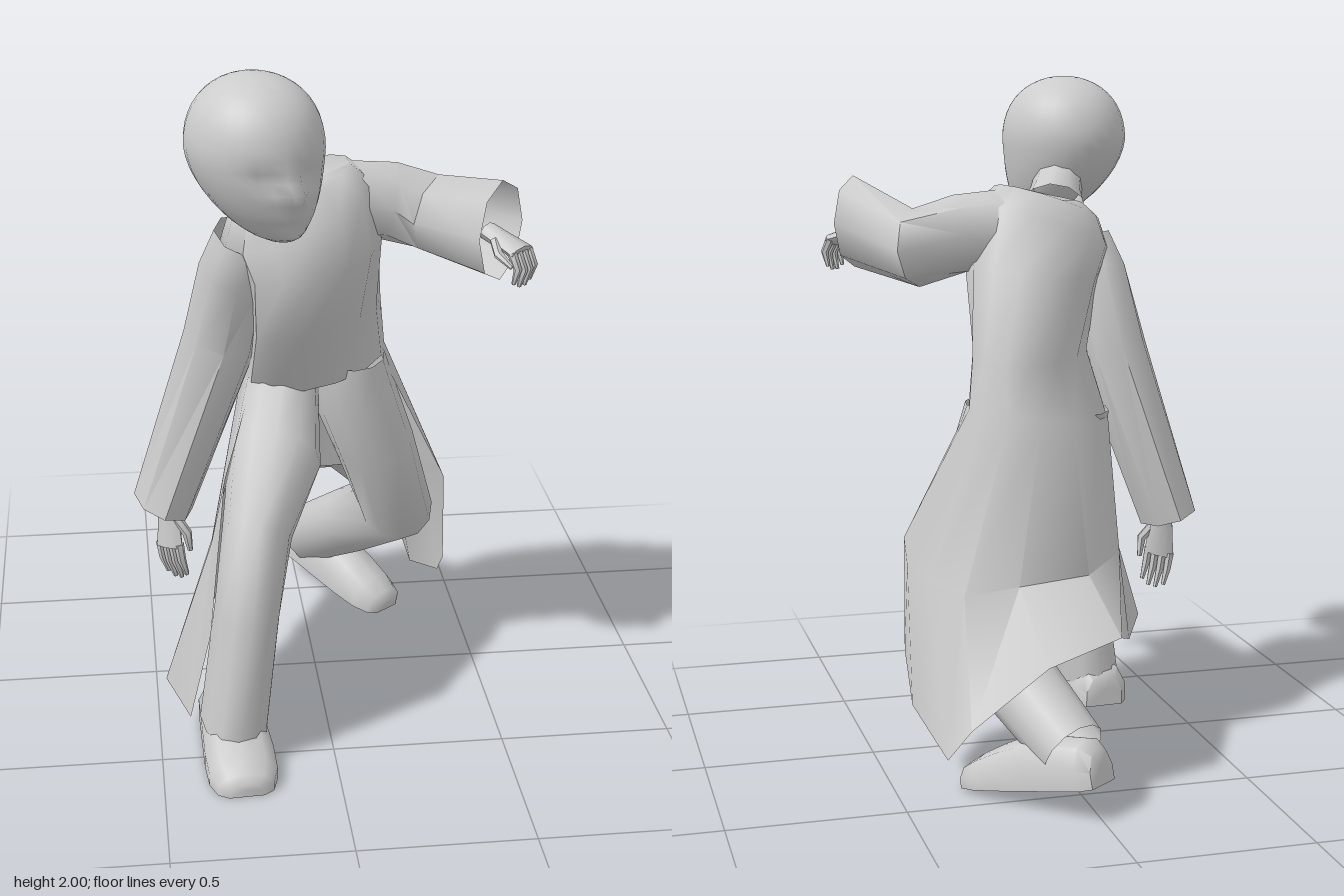
import * as THREE from 'three';
import { toCreasedNormals } from 'three/addons/utils/BufferGeometryUtils.js';

const V = (x, y, z) => new THREE.Vector3(x, y, z);
const mat = new THREE.MeshStandardMaterial({ color: 0xcccccc, side: THREE.DoubleSide });

function mesh(name, geo, crease = 0.9) {
  const m = new THREE.Mesh(toCreasedNormals(geo, crease), mat);
  m.name = name;
  return m;
}

// Skin a stack of point rows; closed rows wrap round, caps fan to the row centre
function loft(rows, { closed = true, capped = false } = {}) {
  const n = rows[0].length, pos = [], idx = [];
  rows.forEach(r => r.forEach(p => pos.push(p.x, p.y, p.z)));
  for (let i = 0; i < rows.length - 1; i++)
    for (let j = 0; j < (closed ? n : n - 1); j++) {
      const k = (j + 1) % n, a = i * n + j, b = i * n + k;
      idx.push(a, a + n, b, b, a + n, b + n);
    }
  const cap = (r, flip) => {
    const c = V(0, 0, 0);
    rows[r].forEach(p => c.addScaledVector(p, 1 / n));
    const ci = pos.length / 3;
    pos.push(c.x, c.y, c.z);
    for (let j = 0; j < n; j++) {
      const a = r * n + j, b = r * n + (j + 1) % n;
      idx.push(ci, flip ? a : b, flip ? b : a);
    }
  };
  if (capped) {
    cap(0, true);
    cap(rows.length - 1, false);
  }
  const g = new THREE.BufferGeometry();
  g.setAttribute('position', new THREE.Float32BufferAttribute(pos, 3));
  g.setIndex(idx);
  return g;
}

// Ellipse of n points about c with half axes u and v
function ring(c, u, v, n) {
  return Array.from({ length: n }, (_, j) => {
    const t = j / n * Math.PI * 2;
    return c.clone().addScaledVector(u, Math.cos(t)).addScaledVector(v, Math.sin(t));
  });
}

// Tapering tube; each point is [x, y, z, ru, rv, optional section normal]
function limb(points, ref, n = 10, opts = {}) {
  const P = points.map(p => V(p[0], p[1], p[2]));
  const dir = i => P[i + 1].clone().sub(P[i]).normalize();
  const rows = points.map((p, i) => {
    const t = V(0, 0, 0);
    if (p[5]) t.copy(p[5]);
    else {
      if (i > 0) t.add(dir(i - 1));
      if (i < P.length - 1) t.add(dir(i));
    }
    t.normalize();
    const u = ref.clone().addScaledVector(t, -ref.dot(t)).normalize();
    const v = u.clone().cross(t);
    return ring(P[i], u.multiplyScalar(p[3]), v.multiplyScalar(p[4]), n);
  });
  return loft(rows, opts);
}

// Shoe along z with a flat sole, from [z, half width, height] sections
function shoe(name) {
  const rows = [
    [-0.235, 0.06, 0.1], [-0.2, 0.085, 0.13], [-0.02, 0.095, 0.14], [0.08, 0.1, 0.115],
    [0.17, 0.098, 0.085], [0.225, 0.08, 0.06], [0.245, 0.05, 0.04],
  ].map(([z, w, h]) => [
    [-1, 0], [-1, 0.45], [-0.65, 0.88], [0, 1], [0.65, 0.88], [1, 0.45], [1, 0],
  ].map(([x, y]) => V(x * w, y * h, z)));
  return mesh(name, loft(rows, { capped: true }), 0.9);
}

// Hand along +z with four curling fingers and a thumb
function hand(name, curl, size, side) {
  const g = new THREE.Group();
  g.name = name;
  const X = V(1, 0, 0), ends = { capped: true };
  g.add(mesh('palm', limb([
    [0, 0, -0.03, 0.03, 0.025], [0, 0, 0.02, 0.035, 0.022], [0, 0, 0.1, 0.045, 0.02],
  ], X, 8, ends)));
  for (let i = 0; i < 4; i++) {
    const x = (i - 1.5) * 0.022, l = 0.055 - 0.006 * Math.abs(i - 1.5);
    const y1 = -Math.sin(curl) * l, z1 = 0.09 + Math.cos(curl) * l;
    g.add(mesh('finger', limb([
      [x, 0, 0.09, 0.012, 0.014], [x, y1, z1, 0.011, 0.012],
      [x, y1 - Math.sin(curl * 2) * l, z1 + Math.cos(curl * 2) * l, 0.006, 0.006],
    ], X, 6, ends)));
  }
  g.add(mesh('thumb', limb([
    [side * 0.025, 0, 0.02, 0.014, 0.014], [side * 0.05, -0.015, 0.06, 0.013, 0.013],
    [side * 0.045, -0.03, 0.11, 0.007, 0.007],
  ], X, 6, ends)));
  g.scale.setScalar(size);
  return g;
}

// Head: a sphere reshaped into a skull with a jaw, brow, eyes, nose and mouth
function head() {
  const geo = new THREE.SphereGeometry(1, 30, 24), p = geo.attributes.position;
  const bump = (x, y, cx, cy, sx, sy) => Math.exp(-(((x - cx) / sx) ** 2) - ((y - cy) / sy) ** 2);
  for (let i = 0; i < p.count; i++) {
    const a = p.getX(i), b = p.getY(i), c = p.getZ(i), low = Math.max(0, -b);
    const x = a * 0.182 * (1 - 0.1 * low);
    const y = b * 0.222 + 0.03 * (1 - b * b);
    let z = c * 0.205 + 0.06 * low * low;
    if (c < 0) z *= 1 - 0.1 * low;
    if (c > 0.15) {
      z += 0.045 * bump(x, y, 0, -0.065, 0.024, 0.03) + 0.018 * bump(x, y, 0, -0.02, 0.018, 0.04);
      z += 0.014 * bump(x, y, 0, -0.135, 0.045, 0.016) + 0.015 * bump(x, y, 0, -0.195, 0.05, 0.03);
      z -= 0.026 * (bump(x, y, 0.065, -0.02, 0.035, 0.022) + bump(x, y, -0.065, -0.02, 0.035, 0.022));
      z -= 0.014 * bump(x, y, 0, -0.16, 0.05, 0.012);
    }
    p.setXYZ(i, x + 0.04 * low * low, y, z);
  }
  const m = mesh('head', geo, 1.2);
  m.position.set(-0.205, 1.778, 0.4);
  m.rotation.y = 0.43;
  return m;
}

export function createModel() {
  const g = new THREE.Group();
  const X = V(1, 0, 0), Y = V(0, 1, 0);

  // Head and neck
  g.add(head());
  g.add(mesh('neck', limb([
    [-0.125, 1.61, 0.22, 0.095, 0.09], [-0.14, 1.645, 0.26, 0.08, 0.08], [-0.165, 1.69, 0.31, 0.075, 0.08],
  ], X)));

  // Rings of the upper coat, turned and leaning towards the shoulders
  const body = [
    [V(0, 1.02, -0.05), V(0.22, 0.03, -0.04), V(0, -0.01, 0.21)],
    [V(0, 1.2, 0.045), V(0.205, 0, -0.12), V(-0.02, 0.02, 0.24)],
    [V(-0.03, 1.42, 0.13), V(0.21, 0.03, -0.11), V(0.04, 0, 0.23)],
    [V(-0.07, 1.55, 0.16), V(0.21, 0.08, -0.1), V(0.06, 0, 0.17)],
    [V(-0.09, 1.625, 0.18), V(0.165, 0.06, -0.08), V(0.05, 0, 0.11)],
    [V(-0.125, 1.635, 0.225), V(0.085, 0.02, -0.03), V(0.03, 0, 0.075)],
  ].map(([c, u, v]) => ring(c, u, v, 14));

  // Skirt rows, hem first: left edge, round the back, to the right flap
  const skirt = [
    [[0.41, 0.33, -0.05], [0.42, 0.21, -0.2], [0.37, 0.12, -0.44], [0.33, 0.24, -0.56], [0.12, 0.41, -0.59],
      [-0.12, 0.45, -0.49], [-0.36, 0.24, 0.17], [-0.48, 0.24, 0.44], [-0.42, 0.23, 0.64], [-0.36, 0.5, 0.66]],
    [[0.39, 0.65, 0.04], [0.41, 0.6, -0.1], [0.37, 0.57, -0.2], [0.28, 0.54, -0.27], [0.12, 0.56, -0.28],
      [-0.1, 0.57, -0.24], [-0.26, 0.58, -0.03], [-0.33, 0.58, 0.24], [-0.34, 0.66, 0.42], [-0.3, 0.86, 0.43]],
  ].map(r => r.map(p => V(...p)).reverse());

  // The back and sides run from hem to neck in one sheet; the chest closes the front
  const back = body.map(r => [...r.slice(6), r[0], r[1]]);
  g.add(mesh('coat', loft([...skirt, ...back], { closed: false }), 1.1));
  g.add(mesh('chest', loft(body.map(r => r.slice(1, 7)), { closed: false }), 1.1));

  // Sleeves: left one bent forward, right one hanging
  g.add(mesh('leftSleeve', limb([
    [0.08, 1.56, 0.095, 0.11, 0.11], [0.2, 1.545, 0.085, 0.115, 0.1],
    [0.335, 1.505, 0.085, 0.115, 0.13], [0.455, 1.56, 0.44, 0.14, 0.115, V(0.75, 0, 0.66)],
  ], Y, 8)));
  g.add(mesh('rightSleeve', limb([
    [-0.22, 1.5, 0.23, 0.09, 0.1], [-0.25, 1.4, 0.2, 0.1, 0.115],
    [-0.285, 1.17, 0.13, 0.11, 0.11], [-0.465, 0.655, 0.125, 0.09, 0.13],
  ], X, 8)));

  // Hands
  const leftHand = hand('leftHand', 0.8, 1, -1);
  leftHand.position.set(0.45, 1.53, 0.39);
  leftHand.lookAt(0.53, 1.495, 0.49);
  const rightHand = hand('rightHand', 0.2, 1.13, 1);
  rightHand.position.set(-0.45, 0.63, 0.13);
  rightHand.lookAt(-0.45, 0.43, 0.17);
  rightHand.rotateZ(0.8);
  g.add(leftHand, rightHand);

  // Trousers: each leg starts as half of the waist
  g.add(mesh('rightTrouserLeg', limb([
    [-0.1, 1.03, -0.02, 0.115, 0.165, V(0, -1, 0)], [-0.115, 0.92, 0.06, 0.12, 0.15],
    [-0.14, 0.81, 0.2, 0.135, 0.145], [-0.21, 0.68, 0.41, 0.1, 0.155],
    [-0.24, 0.45, 0.41, 0.095, 0.165], [-0.285, 0.08, 0.415, 0.1, 0.178],
  ], X, 12), 1.1));
  g.add(mesh('leftTrouserLeg', limb([
    [0.1, 1.05, -0.02, 0.11, 0.16, V(0, -1, 0)], [0.125, 0.91, -0.01, 0.125, 0.14],
    [0.185, 0.75, -0.02, 0.12, 0.125], [0.265, 0.5, -0.1, 0.115, 0.125],
    [0.175, 0.35, -0.32, 0.118, 0.11], [0.05, 0.17, -0.59, 0.095, 0.1],
  ], X, 12), 1.1));

  // Shoes
  const rightShoe = shoe('rightShoe');
  rightShoe.position.set(-0.285, 0.005, 0.47);
  rightShoe.rotation.y = 0.06;
  const leftShoe = shoe('leftShoe');
  leftShoe.position.set(0.13, 0.055, -0.505);
  leftShoe.rotation.set(0.2, 0.66, 0, 'YXZ');
  leftShoe.scale.set(0.88, 1, 0.98);
  g.add(rightShoe, leftShoe);
  return g;
}
